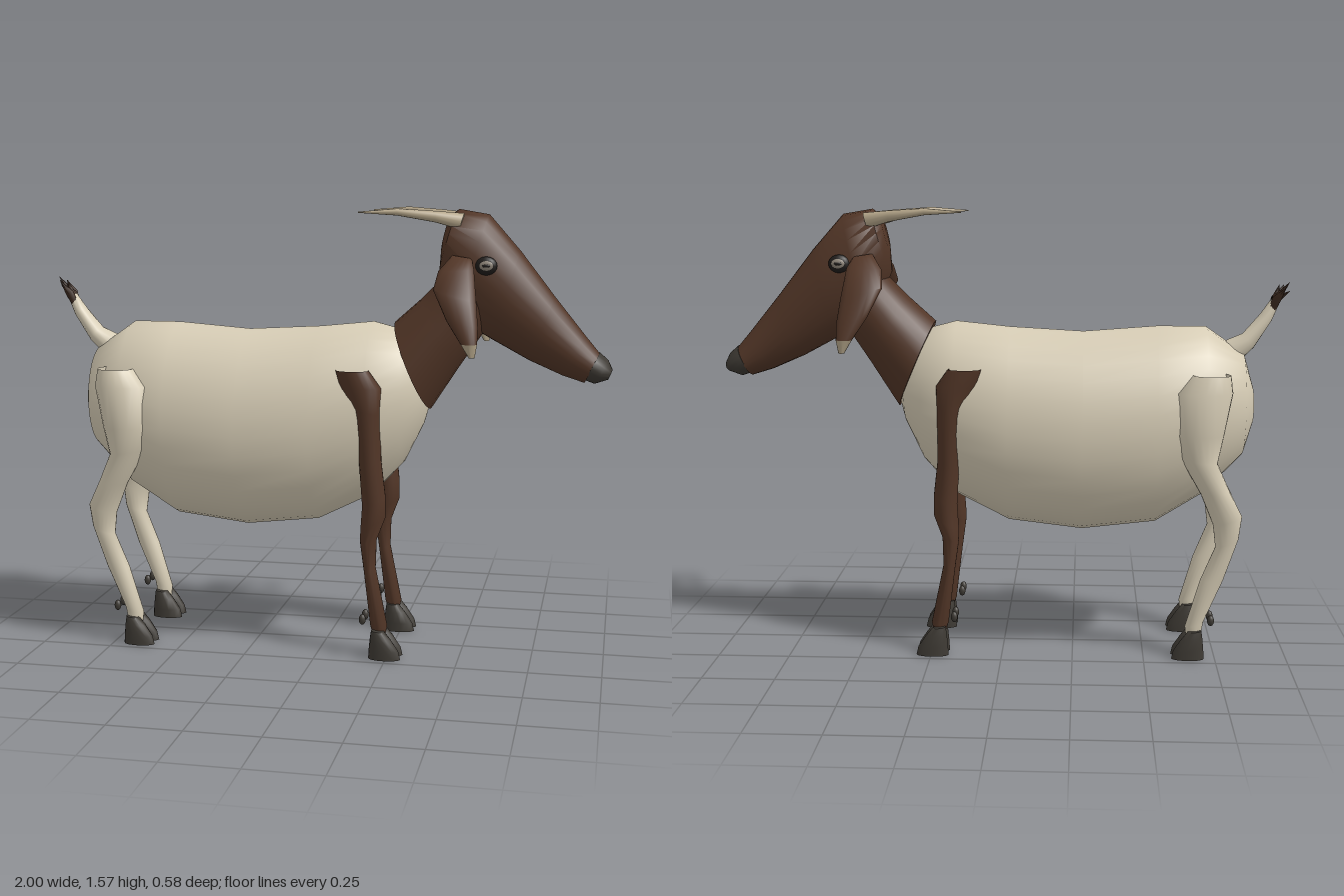
import * as THREE from 'three';
import { toCreasedNormals } from 'three/addons/utils/BufferGeometryUtils.js';

const mat = (name, color, side = THREE.FrontSide) => {
  const m = new THREE.MeshStandardMaterial({ color, side });
  m.name = name;
  return m;
};

// Skin elliptical sections. Each section: [x1, y1, x2, y2, half width in z, centre z].
function loft(sections, { seg = 20, zScale = 1, dx = 0, dz = 0, capStart = true } = {}) {
  const pos = [], idx = [], n = sections.length;
  for (const [x1, y1, x2, y2, b, z = 0] of sections) {
    for (let j = 0; j < seg; j++) {
      const a = (j / seg) * Math.PI * 2, c = Math.cos(a) / 2;
      pos.push((x1 + x2) / 2 + (x1 - x2) * c + dx, (y1 + y2) / 2 + (y1 - y2) * c,
        (z + dz + b * Math.sin(a)) * zScale);
    }
  }
  for (let i = 0; i < n - 1; i++) {
    for (let j = 0; j < seg; j++) {
      const a = i * seg + j, b = i * seg + (j + 1) % seg;
      idx.push(a, b, a + seg, b, b + seg, a + seg);
    }
  }
  const cap = (i, flip) => {
    const [x1, y1, x2, y2, , z = 0] = sections[i], c = pos.length / 3;
    pos.push((x1 + x2) / 2 + dx, (y1 + y2) / 2, (z + dz) * zScale);
    for (let j = 0; j < seg; j++) {
      const a = i * seg + j, b = i * seg + (j + 1) % seg;
      if (flip) idx.push(c, b, a); else idx.push(c, a, b);
    }
  };
  if (capStart) cap(0, true);
  cap(n - 1, false);
  // Turn the surface outward if its enclosed volume is negative
  const p = (i) => new THREE.Vector3().fromArray(pos, i * 3).sub(new THREE.Vector3().fromArray(pos, 0));
  let volume = 0;
  for (let i = 0; i < idx.length; i += 3) volume += p(idx[i]).dot(p(idx[i + 1]).cross(p(idx[i + 2])));
  if (volume < 0) idx.reverse();
  const g = new THREE.BufferGeometry();
  g.setAttribute('position', new THREE.Float32BufferAttribute(pos, 3));
  g.setIndex(idx);
  return toCreasedNormals(g, 1.0);
}

export function createModel() {
  const goat = new THREE.Group();
  goat.name = 'goat';
  const cream = mat('creamCoat', 0xd6ccb5, THREE.DoubleSide);
  const brown = mat('brownCoat', 0x523627, THREE.DoubleSide);
  const dark = mat('darkHoof', 0x3e3a34);
  const horn = mat('horn', 0xb5a68a);
  const black = mat('eyeBlack', 0x1f1c1a);
  const iris = mat('iris', 0x8d8478);
  const tuftBrown = mat('tuftBrown', 0x3a281e);

  const add = (name, geo, material) => {
    const m = new THREE.Mesh(geo, material);
    m.name = name;
    goat.add(m);
    return m;
  };
  const ball = (name, material, x, y, z, sx, sy, sz) => {
    const m = add(name, new THREE.SphereGeometry(1, 16, 10), material);
    m.position.set(x, y, z);
    m.scale.set(sx, sy, sz);
    return m;
  };

  // Barrel, rump to chest
  add('body', loft([
    [-0.88, 0.94, -0.88, 0.81, 0.06], [-0.845, 1.06, -0.845, 0.7, 0.15],
    [-0.71, 1.155, -0.71, 0.56, 0.23], [-0.54, 1.155, -0.54, 0.455, 0.263],
    [-0.28, 1.135, -0.28, 0.425, 0.275], [-0.02, 1.15, -0.02, 0.455, 0.258],
    [0.17, 1.17, 0.17, 0.55, 0.222], [0.285, 1.14, 0.285, 0.675, 0.175],
    [0.35, 1.05, 0.35, 0.81, 0.11], [0.37, 0.98, 0.37, 0.88, 0.05],
  ], { seg: 32 }), cream);

  // Neck and head
  add('neck', loft([
    [0.245, 1.17, 0.375, 0.865, 0.155], [0.34, 1.255, 0.475, 1.02, 0.135],
    [0.42, 1.335, 0.57, 1.16, 0.115], [0.46, 1.44, 0.62, 1.27, 0.1],
  ], { seg: 24 }), brown);
  add('head', loft([
    [0.435, 1.54, 0.405, 1.42, 0.055], [0.465, 1.563, 0.4, 1.34, 0.1],
    [0.57, 1.545, 0.47, 1.18, 0.116], [0.68, 1.42, 0.585, 1.115, 0.108],
    [0.8, 1.265, 0.715, 1.045, 0.085], [0.905, 1.135, 0.83, 0.995, 0.073],
    [0.955, 1.075, 0.905, 0.972, 0.07],
  ], { seg: 24 }), brown);
  add('nose', loft([
    [0.955, 1.078, 0.905, 0.982, 0.073], [0.985, 1.052, 0.94, 0.97, 0.072],
    [1, 1.02, 0.985, 0.985, 0.045],
  ], { seg: 24 }), dark);

  // Tail with a tuft of hair spikes
  add('tail', loft([
    [-0.77, 1.1, -0.81, 1.01, 0.045], [-0.84, 1.13, -0.88, 1.08, 0.04],
    [-0.9, 1.2, -0.94, 1.175, 0.03], [-0.935, 1.25, -0.965, 1.235, 0.018],
  ], { seg: 14 }), cream);
  for (const [x, y, z] of [[-1, 1.31, 0], [-0.985, 1.3, 0.035], [-0.985, 1.295, -0.035], [-0.965, 1.3, 0.012], [-1, 1.28, -0.012]]) {
    add('tailTuft', loft([
      [-0.925, 1.215, -0.945, 1.2, 0.012, z * 0.2], [-0.94, 1.26, -0.967, 1.245, 0.012, z * 0.6],
      [x + 0.001, y, x, y, 0.001, z],
    ], { seg: 8 }), tuftBrown);
  }

  for (const s of [1, -1]) {
    const side = s > 0 ? 'left' : 'right';
    // Backswept horn
    add(`${side}Horn`, loft([
      [0.49, 1.55, 0.475, 1.495, 0.022, 0.065], [0.4, 1.558, 0.395, 1.52, 0.018, 0.105],
      [0.27, 1.567, 0.27, 1.543, 0.012, 0.138], [0.14, 1.556, 0.14, 1.552, 0.002, 0.16],
    ], { zScale: s, seg: 12 }), horn);

    // Drooping ear and pale tip
    add(`${side}Ear`, loft([
      [0.455, 1.41, 0.52, 1.4, 0.022, 0.1], [0.415, 1.36, 0.535, 1.365, 0.03, 0.165],
      [0.405, 1.3, 0.55, 1.26, 0.028, 0.22], [0.455, 1.2, 0.56, 1.18, 0.025, 0.252],
      [0.505, 1.125, 0.56, 1.125, 0.02, 0.268],
    ], { zScale: s, seg: 16 }), brown);
    add(`${side}EarTip`, loft([
      [0.505, 1.125, 0.56, 1.125, 0.02, 0.268], [0.532, 1.08, 0.552, 1.08, 0.012, 0.265],
    ], { zScale: s, seg: 16 }), horn);

    // Eye with iris and slot pupil
    ball(`${side}Eye`, black, 0.57, 1.375, s * 0.108, 0.038, 0.032, 0.02);
    ball(`${side}Iris`, iris, 0.572, 1.376, s * 0.123, 0.024, 0.017, 0.007);
    ball(`${side}Pupil`, black, 0.572, 1.376, s * 0.128, 0.014, 0.006, 0.004);

    // Legs, open where they meet the body
    add(`${side}FrontLeg`, loft([
      [0.07, 1.02, 0.185, 1.02, 0.04, 0.203], [0.085, 0.96, 0.227, 0.96, 0.05, 0.195],
      [0.13, 0.89, 0.225, 0.87, 0.055, 0.185], [0.15, 0.67, 0.225, 0.7, 0.055, 0.168],
      [0.158, 0.54, 0.24, 0.57, 0.05, 0.16], [0.152, 0.45, 0.24, 0.5, 0.044, 0.163],
      [0.152, 0.41, 0.21, 0.42, 0.037, 0.165], [0.167, 0.3, 0.207, 0.32, 0.031, 0.166],
      [0.19, 0.11, 0.25, 0.11, 0.032, 0.167], [0.205, 0.07, 0.24, 0.07, 0.025, 0.167],
    ], { zScale: s, capStart: false }), brown);
    add(`${side}HindLeg`, loft([
      [-0.785, 1.005, -0.655, 1.005, 0.06, 0.2], [-0.792, 0.945, -0.6, 0.945, 0.074, 0.21],
      [-0.765, 0.8, -0.597, 0.8, 0.072, 0.21], [-0.745, 0.7, -0.615, 0.72, 0.065, 0.203],
      [-0.79, 0.6, -0.69, 0.59, 0.05, 0.195], [-0.835, 0.51, -0.735, 0.48, 0.042, 0.187],
      [-0.825, 0.43, -0.745, 0.4, 0.036, 0.182], [-0.775, 0.28, -0.695, 0.28, 0.031, 0.178],
      [-0.71, 0.13, -0.645, 0.11, 0.032, 0.175], [-0.7, 0.07, -0.65, 0.07, 0.025, 0.175],
    ], { zScale: s, capStart: false }), cream);

    // Cloven hooves and dewclaws
    for (const [leg, dx] of [['Front', 0], ['Hind', -0.9]]) {
      for (const toe of [-0.028, 0.028]) {
        add(`${side}${leg}Hoof`, loft([
          [0.188, 0, 0.302, 0, 0.028, 0], [0.19, 0.035, 0.295, 0.03, 0.028, 0],
          [0.194, 0.075, 0.268, 0.07, 0.026, 0], [0.198, 0.102, 0.245, 0.098, 0.019, 0],
        ], { zScale: s, dx, dz: 0.172 + toe, seg: 14 }), dark);
        ball(`${side}${leg}Dewclaw`, dark, 0.167 + dx, 0.14, s * (0.172 + toe * 1.1), 0.012, 0.019, 0.012);
      }
    }
  }
  return goat;
}
